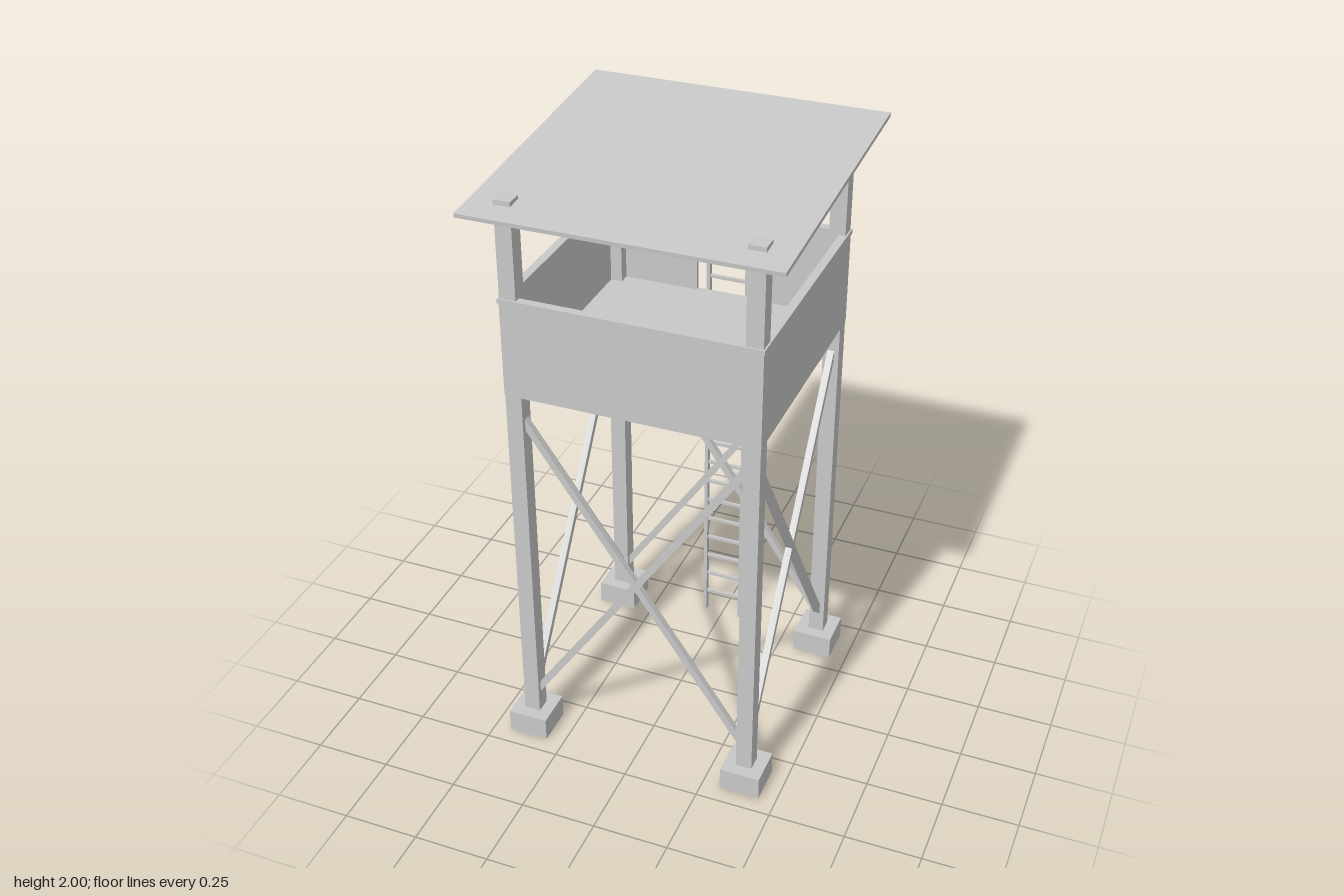
import * as THREE from 'three';

const grey = new THREE.MeshStandardMaterial({ color: 0xc8c8c8 });
grey.name = 'grey';

function box(parent, name, size, pos) {
  const mesh = new THREE.Mesh(new THREE.BoxGeometry(...size), grey);
  mesh.name = name;
  mesh.position.set(...pos);
  parent.add(mesh);
  return mesh;
}

export function createModel() {
  const tower = new THREE.Group();
  tower.name = 'watchtower';

  const post = 0.377;      // post centre
  const edge = 0.405;      // outer face of the walls
  const floorY = 1.31, wallTop = 1.625;
  const wallH = wallTop - floorY, wallMid = (wallTop + floorY) / 2;
  const wallT = 0.016, gap = 0.1;

  // Corner posts on block footings
  for (const x of [-post, post]) {
    for (const z of [-post, post]) {
      box(tower, 'footing', [0.133, 0.08, 0.133], [x, 0.04, z]);
      box(tower, 'post', [0.053, 1.875, 0.053], [x, 1.0075, z]);
    }
  }

  // Crossed braces on all four sides
  const rise = 1.11, run = 2 * post;
  for (let side = 0; side < 4; side++) {
    const frame = new THREE.Group();
    frame.name = 'crossBrace';
    frame.rotation.y = side * Math.PI / 2;
    for (const s of [-1, 1]) {
      const brace = box(frame, 'brace', [0.022, Math.hypot(rise, run), 0.022], [0, 0.69, post]);
      brace.rotation.z = s * Math.atan2(run, rise);
    }
    tower.add(frame);
  }

  // Platform floor
  box(tower, 'floor', [2 * edge - 0.002, 0.024, 2 * edge - 0.002], [0, floorY + 0.012, 0]);

  // Parapet wall with a cap rail; the back is split by the ladder opening
  function wall(parent, x0, x1) {
    const w = x1 - x0, x = (x0 + x1) / 2;
    box(parent, 'wall', [w, wallH, wallT], [x, wallMid, edge - wallT / 2]);
    const a = x0 === -edge ? x0 - 0.004 : x0;
    const b = x1 === edge ? x1 + 0.004 : x1;
    box(parent, 'capRail', [b - a, 0.015, 0.027], [(a + b) / 2, wallTop + 0.0025, edge - 0.0095]);
  }
  for (let side = 0; side < 4; side++) {
    const panel = new THREE.Group();
    panel.name = 'parapet';
    panel.rotation.y = side * Math.PI / 2;
    if (side === 2) {
      wall(panel, -edge, -gap);
      wall(panel, gap, edge);
    } else {
      wall(panel, -edge, edge);
    }
    tower.add(panel);
  }

  // Ladder up the back
  const ladder = new THREE.Group();
  ladder.name = 'ladder';
  for (const x of [-0.067, 0.067]) {
    box(ladder, 'ladderRail', [0.012, 1.62, 0.02], [x, 0.81, -0.416]);
  }
  for (let i = 0; i < 19; i++) {
    box(ladder, 'rung', [0.124, 0.01, 0.011], [0, 0.084 + i * 0.081, -0.416]);
  }
  tower.add(ladder);

  // Sloping roof, low at the front, with the front posts poking through
  const roof = box(tower, 'roof', [0.97, 0.013, 0.97], [0, 1.9555, 0]);
  roof.rotation.x = Math.atan2(0.076, 0.965);

  return tower;
}
